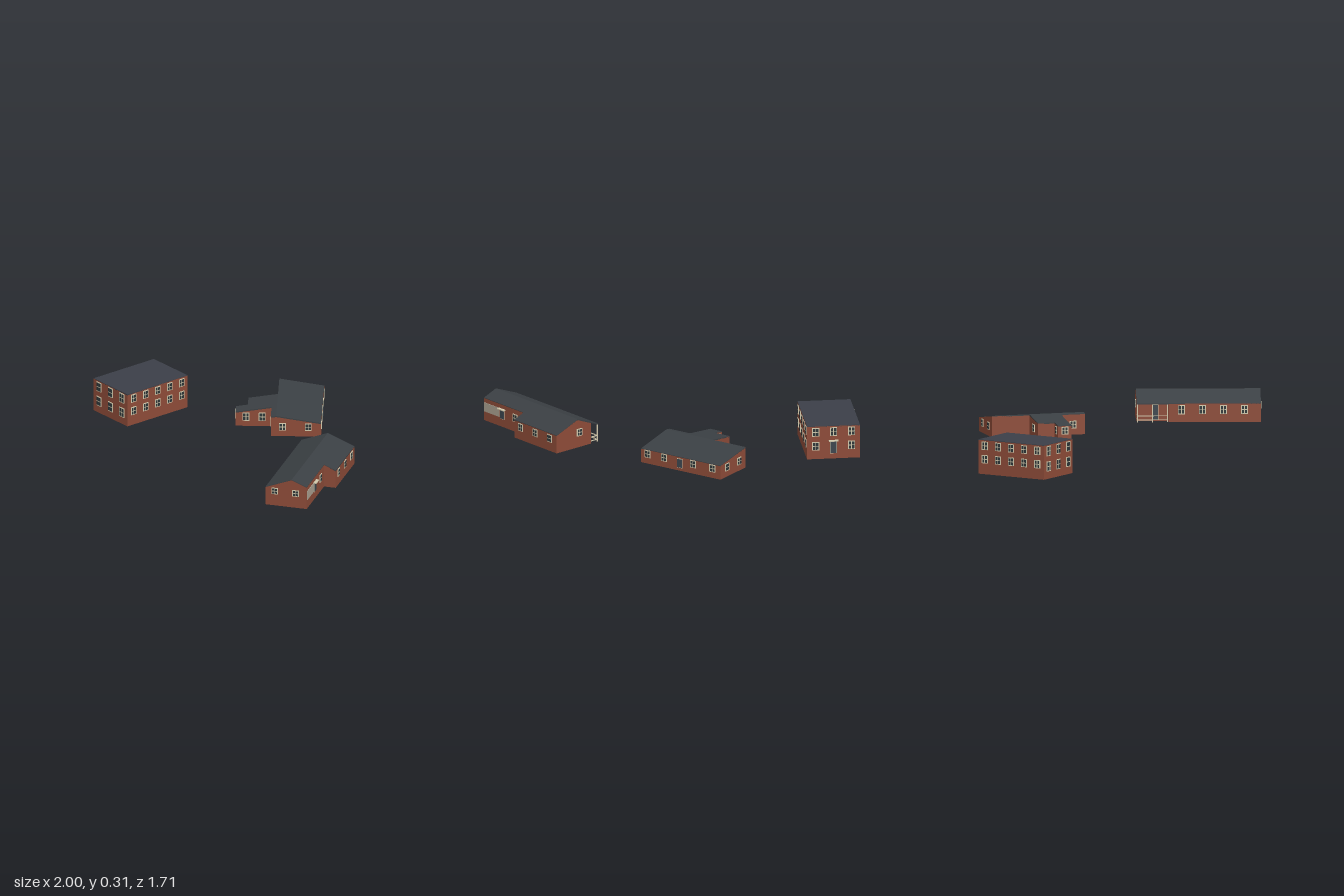
import * as THREE from 'three';

const mat = (name, color, side = THREE.FrontSide) => {
  const m = new THREE.MeshStandardMaterial({ color, side });
  m.name = name;
  return m;
};
const brick = mat('brick', 0x8d4b38, THREE.DoubleSide);
const slate = mat('slate roof', 0x3b4044);
const felt = mat('flat roof', 0x3b3f48);
const cream = mat('cream trim', 0xd2c9ac);
const glass = mat('dark glass', 0x2c3538);
const doorPaint = mat('door paint', 0x3c464e);
const panelGrey = mat('pale panel', 0xada292);

// Which way an opening faces, as a turn about y
const FRONT = 0, RIGHT = Math.PI / 2, BACK = Math.PI, LEFT = -Math.PI / 2;

function box(parent, name, material, w, h, d, x, y, z) {
  const m = new THREE.Mesh(new THREE.BoxGeometry(w, h, d), material);
  m.name = name;
  m.position.set(x, y, z);
  parent.add(m);
  return m;
}

// Vertical walls around an outline of [x, z], reaching up to the roof rule
function walls(parent, outline, base, height) {
  const pos = [];
  outline.forEach(([x1, z1], i) => {
    const [x2, z2] = outline[(i + 1) % outline.length];
    const t1 = height(x1) - 0.003, t2 = height(x2) - 0.003;
    pos.push(x1, base, z1, x2, base, z2, x2, t2, z2);
    pos.push(x1, base, z1, x2, t2, z2, x1, t1, z1);
  });
  const g = new THREE.BufferGeometry();
  g.setAttribute('position', new THREE.Float32BufferAttribute(pos, 3));
  g.computeVertexNormals();
  const m = new THREE.Mesh(g, brick);
  m.name = 'walls';
  parent.add(m);
}

// Thin roof slab over an outline, tilted by the roof rule
function roof(parent, outline, height, material) {
  const shape = new THREE.Shape(outline.map(([x, z]) => new THREE.Vector2(x, z)));
  const g = new THREE.ExtrudeGeometry(shape, { depth: 0.007, bevelEnabled: false });
  g.rotateX(Math.PI / 2);
  const p = g.attributes.position;
  for (let i = 0; i < p.count; i++) p.setY(i, p.getY(i) + height(p.getX(i)));
  g.computeVertexNormals();
  const m = new THREE.Mesh(g, material);
  m.name = 'roof';
  parent.add(m);
}

function opening(parent, name, x, y, z, turn) {
  const g = new THREE.Group();
  g.name = name;
  g.position.set(x, y, z);
  g.rotation.y = turn;
  parent.add(g);
  return g;
}

// Cream frame with two by two panes
function makeWindow(parent, x, y, z, turn, w = 0.043, h = 0.048) {
  const g = opening(parent, 'window', x, y, z, turn);
  box(g, 'windowFrame', cream, w, h, 0.006, 0, 0, 0.001);
  const t = 0.005, pw = (w - 3 * t) / 2, ph = (h - 3 * t) / 2;
  for (const i of [-1, 1]) for (const j of [-1, 1])
    box(g, 'pane', glass, pw, ph, 0.002, i * (pw + t) / 2, j * (ph + t) / 2, 0.004);
}

function makeDoor(parent, x, y, z, turn, w, h, canopy) {
  const g = opening(parent, 'door', x, y, z, turn);
  box(g, 'doorFrame', cream, w + 0.006, h + 0.006, 0.004, 0, 0, 0.001);
  box(g, 'doorLeaf', doorPaint, w, h, 0.004, 0, 0, 0.003);
  if (canopy) box(g, 'doorCanopy', cream, w + 0.024, 0.006, 0.02, 0, h / 2 + 0.006, 0.01);
}

// Two-storey block with a flat roof
function makeBlock() {
  const g = new THREE.Group();
  g.name = 'twoStoreyBlock';
  g.position.set(-0.745, 0, -0.452);
  g.rotation.y = -0.452;
  const X = 0.165, Z = 0.24, top = () => 0.215;
  const plan = [[-X, -Z], [-X, Z], [X, Z], [X, -Z]];
  walls(g, plan, 0, top);
  roof(g, plan, top, felt);
  for (const x of [-0.112, 0, 0.112]) {
    makeWindow(g, x, 0.174, Z, FRONT, 0.045, 0.062);
    makeWindow(g, x, 0.078, Z, FRONT, 0.045, 0.062);
    makeWindow(g, x, 0.176, -Z, BACK, 0.045, 0.056);
    if (x) makeWindow(g, x, 0.085, -Z, BACK, 0.045, 0.055);
  }
  makeDoor(g, 0, 0.075, -Z, BACK, 0.036, 0.075, true);
  for (let i = -2; i <= 2; i++) for (const y of [0.094, 0.178]) {
    makeWindow(g, X, y, i * 0.096, RIGHT, 0.042, 0.052);
    makeWindow(g, -X, y, i * 0.096, LEFT, 0.042, 0.052);
  }
  return g;
}

// Low house with a stepped side wing under one shallow gable
function makeWingHouse() {
  const g = new THREE.Group();
  g.name = 'wingHouse';
  g.rotation.y = 0.4;
  const top = x => 0.232 - 0.155 * Math.abs(x - 0.35);
  const wing = [[0.35, -0.425], [0.167, -0.425], [0.167, -0.317], [0.093, -0.317],
    [0.093, -0.23], [0.317, -0.23], [0.317, -0.076], [0.35, -0.076]];
  const main = [[0.628, -0.076], [0.628, -0.667], [0.35, -0.667]];
  walls(g, [...wing, ...main], 0.098, top);
  roof(g, wing, top, slate);
  roof(g, [[0.35, -0.076], ...main], top, slate);
  const y = 0.161;
  for (const z of [-0.124, -0.247, -0.463, -0.608]) makeWindow(g, 0.628, y, z, RIGHT);
  makeDoor(g, 0.628, 0.147, -0.365, RIGHT, 0.034, 0.054, false);
  for (const x of [0.389, 0.549]) makeWindow(g, x, y, -0.076, FRONT);
  for (const x of [0.158, 0.259]) makeWindow(g, x, y, -0.23, FRONT, 0.043, 0.055);
  for (const x of [0.42, 0.555]) makeWindow(g, x, y, -0.667, BACK);
  makeWindow(g, 0.255, y, -0.425, BACK);
  makeWindow(g, 0.13, y, -0.317, BACK, 0.035);
  makeWindow(g, 0.093, y, -0.273, LEFT);
  makeWindow(g, 0.317, y, -0.155, LEFT);
  return g;
}

// Long gabled house with a corner porch
function makeLongHouse() {
  const g = new THREE.Group();
  g.name = 'longHouse';
  g.rotation.y = 0.1405;
  const base = 0.125, ridge = 0.754, top = x => 0.31 - 0.395 * Math.abs(x - ridge);
  const rightSide = [[ridge, 0.943], [0.851, 0.943], [0.851, 0.571], [0.926, 0.571],
    [0.926, 0.173], [ridge, 0.173]];
  walls(g, [...rightSide, [0.645, 0.173], [0.645, 0.37], [0.585, 0.37], [0.585, 0.943]], base, top);
  roof(g, rightSide, top, slate);
  roof(g, [[ridge, 0.173], [0.585, 0.173], [0.585, 0.943], [ridge, 0.943]], top, slate);
  // Porch posts and rails
  for (const z of [0.178, 0.272, 0.365])
    box(g, 'porchPost', cream, 0.006, 0.112, 0.006, 0.59, base + 0.056, z);
  for (const y of [0.14, 0.165])
    box(g, 'porchRail', cream, 0.005, 0.005, 0.19, 0.59, y, 0.272);
  for (const y of [0.14, 0.165])
    box(g, 'porchEndRail', cream, 0.055, 0.005, 0.005, 0.617, y, 0.178);
  // Openings
  for (const z of [0.24, 0.376, 0.511]) makeWindow(g, 0.926, 0.207, z, RIGHT);
  makeWindow(g, 0.851, 0.214, 0.648, RIGHT, 0.043, 0.05);
  makeDoor(g, 0.851, 0.207, 0.77, RIGHT, 0.034, 0.056, true);
  box(g, 'sidePanel', panelGrey, 0.006, 0.058, 0.145, 0.852, 0.213, 0.868);
  for (const x of [0.646, 0.779]) makeWindow(g, x, 0.222, 0.943, FRONT, 0.042, 0.042);
  makeWindow(g, 0.74, 0.222, 0.173, BACK);
  for (const z of [0.45, 0.58, 0.71, 0.84]) makeWindow(g, 0.585, 0.203, z, LEFT, 0.043, 0.056);
  makeDoor(g, 0.645, 0.18, 0.29, LEFT, 0.036, 0.09, false);
  return g;
}

export function createModel() {
  const model = new THREE.Group();
  model.name = 'buildings';
  model.add(makeBlock(), makeWingHouse(), makeLongHouse());
  return model;
}
